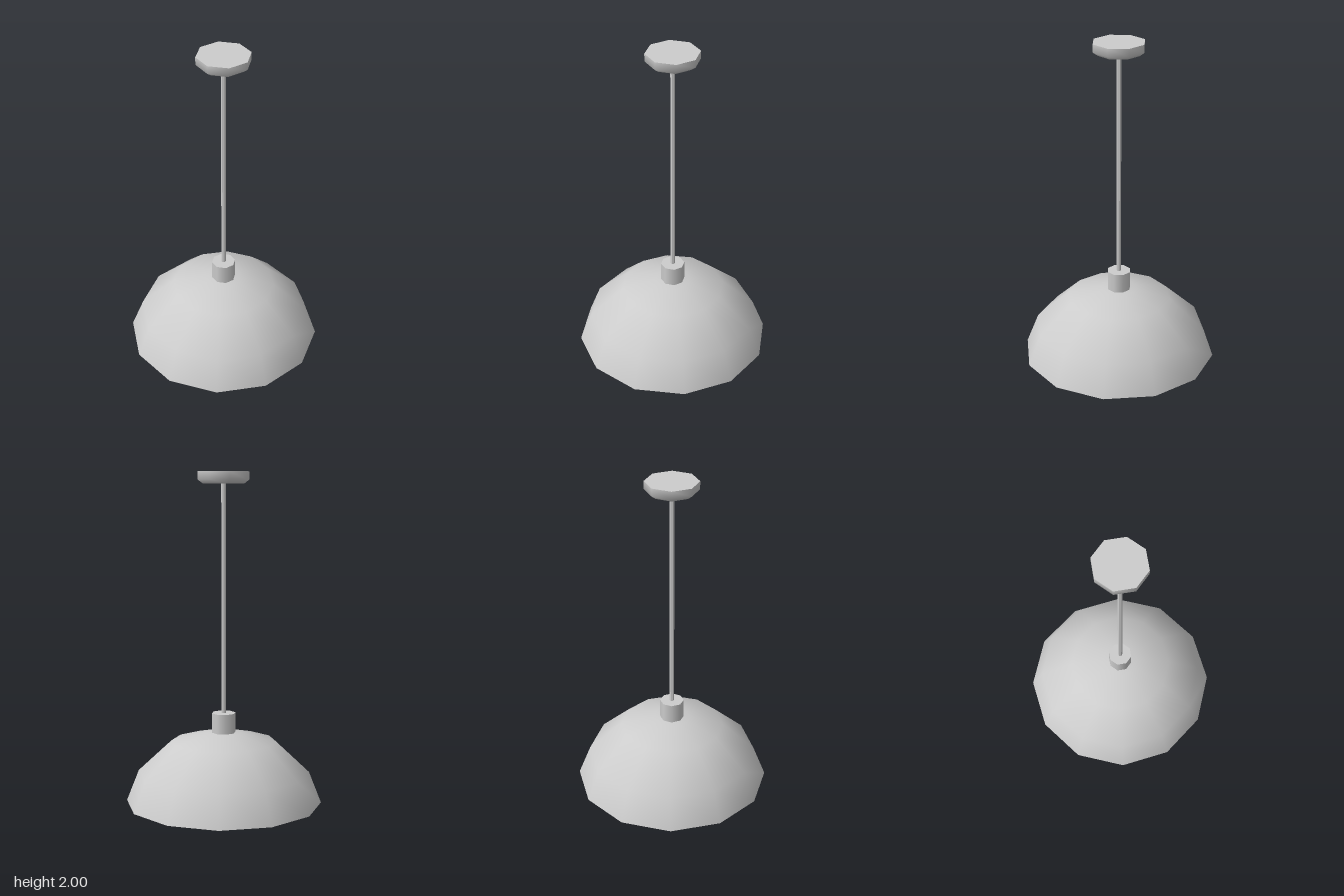
import * as THREE from 'three';
import { toCreasedNormals } from 'three/addons/utils/BufferGeometryUtils.js';

export function createModel() {
  const lamp = new THREE.Group();
  lamp.name = 'pendantLamp';
  const grey = new THREE.MeshStandardMaterial({ color: 0xcccccc });
  grey.name = 'light grey';

  const add = (name, geometry, parent = lamp) => {
    const mesh = new THREE.Mesh(geometry, grey);
    mesh.name = name;
    parent.add(mesh);
    return mesh;
  };
  const lathe = (points, sides) =>
    new THREE.LatheGeometry(points.map(([r, y]) => new THREE.Vector2(r, y)), sides);
  const group = (name) => {
    const g = new THREE.Group();
    g.name = name;
    lamp.add(g);
    return g;
  };

  // Ceiling canopy: chamfered octagonal disc with a crisp flat top
  const canopy = group('ceilingCanopy');
  add('canopyBase', lathe([[0, 1.93], [0.127, 1.93], [0.158, 1.953], [0.158, 2]], 8), canopy);
  add('canopyTop', lathe([[0.158, 2], [0, 2]], 8), canopy);

  // Hanging rod
  const rod = new THREE.CylinderGeometry(0.014, 0.014, 1.42, 6);
  add('rod', toCreasedNormals(rod, 0.5)).position.y = 1.23;

  // Socket cap above the shade
  add('socketCap', new THREE.CylinderGeometry(0.073, 0.073, 0.13, 8)).position.y = 0.487;

  // Dome shade: outer skin, inner skin and the thin rim between them
  const shade = group('shade');
  add('shadeOuter', lathe([[0.595, 0], [0.52, 0.19], [0.318, 0.378], [0.11, 0.43], [0, 0.436]], 12), shade);
  add('shadeInner', lathe([[0, 0.418], [0.107, 0.412], [0.31, 0.362], [0.505, 0.182], [0.578, 0]], 12), shade);
  add('shadeRim', lathe([[0.578, 0], [0.595, 0]], 12), shade);

  // Faceted bulb under the shade
  const bulb = lathe([[0, 0.09], [0.036, 0.09], [0.085, 0.21], [0.05, 0.42]], 6);
  add('bulb', toCreasedNormals(bulb, 0.4));

  return lamp;
}
